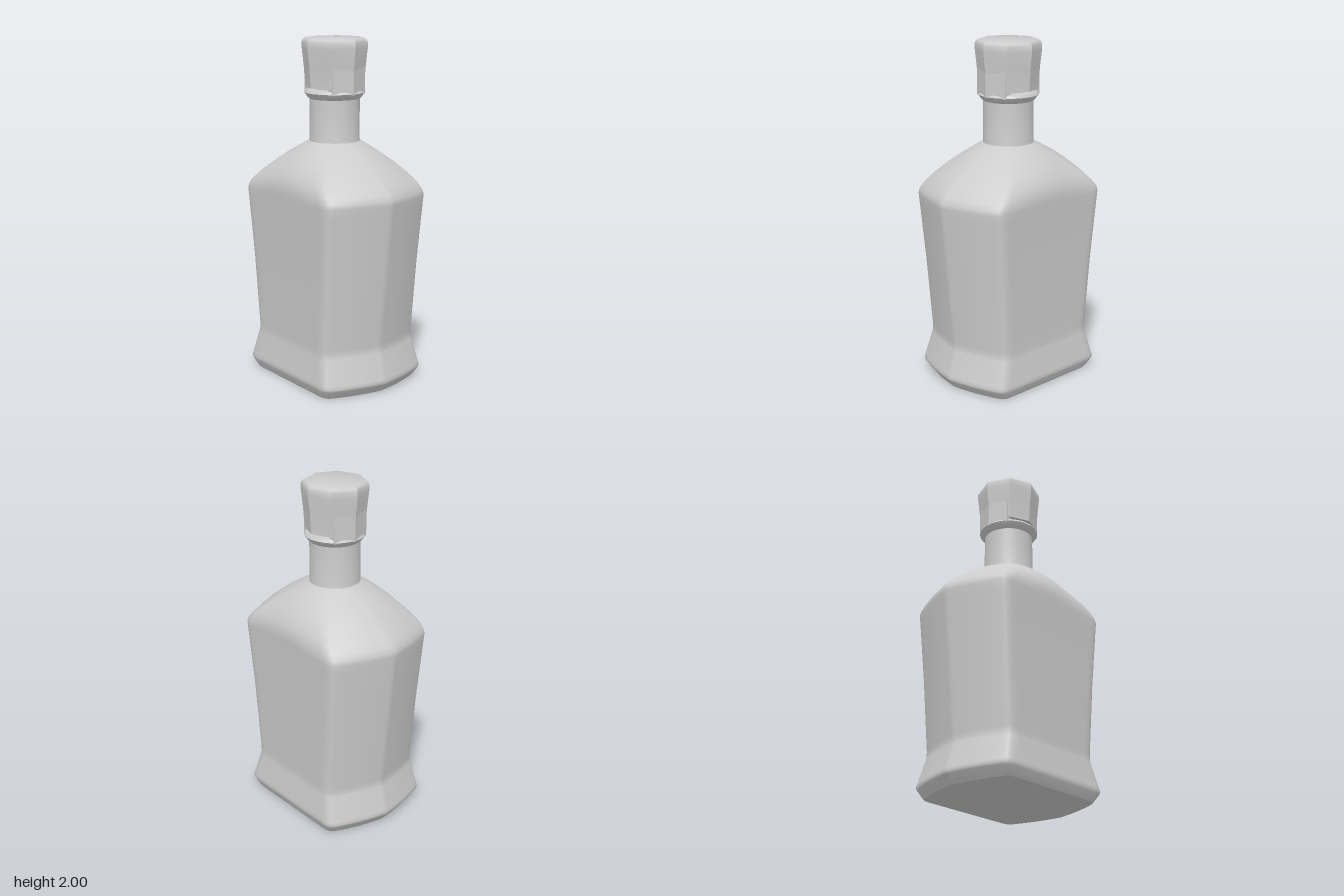
import * as THREE from 'three';
import { toCreasedNormals } from 'three/addons/utils/BufferGeometryUtils.js';

const material = new THREE.MeshStandardMaterial({ color: 0xcccccc });
const mix = THREE.MathUtils.lerp;

// One quarter of the soft-cornered hexagon, from the side edge (+x) to the front (+z)
function quarterHexagon(X, Z, C) {
  const pts = [];
  const side = (t) => {
    const bulge = 0.05 * t * (1 - t);
    return [mix(X, C, t) + bulge, Z * t + bulge * 0.4];
  };
  for (const t of [0, 0.05, 0.25, 0.45, 0.65, 0.82, 0.91]) pts.push(side(t));
  const a = pts[pts.length - 1], b = [C - 0.05, Z];
  for (const t of [0.25, 0.5, 0.75, 1]) {
    const u = 1 - t;
    pts.push([
      u * u * a[0] + 2 * u * t * C + t * t * b[0],
      u * u * a[1] + 2 * u * t * Z + t * t * b[1],
    ]);
  }
  for (const f of [0.93, 0.75, 0.5, 0.25, 0]) pts.push([b[0] * f, Z]);
  return pts;
}

// Full ring; round = 0 gives the hexagon, 1 gives the ellipse of the same size
function ring([y, X, Z, C, round]) {
  const quarter = quarterHexagon(X, Z, C).map(([x, z]) => {
    const angle = Math.atan2(z / Z, x / X);
    return [mix(x, X * Math.cos(angle), round), mix(z, Z * Math.sin(angle), round)];
  });
  const half = [...quarter, ...quarter.slice(0, -1).reverse().map(([x, z]) => [-x, z])];
  const full = [...half, ...half.slice(1, -1).reverse().map(([x, z]) => [x, -z])];
  return full.map(([x, z]) => [x, y, z]);
}

function loft(rings) {
  const n = rings[0].length, index = [];
  for (let r = 0; r < rings.length - 1; r++) {
    for (let i = 0; i < n; i++) {
      const a = r * n + i, b = r * n + (i + 1) % n;
      index.push(a, a + n, b, b, a + n, b + n);
    }
  }
  const geo = new THREE.BufferGeometry();
  geo.setAttribute('position', new THREE.Float32BufferAttribute(rings.flat(2), 3));
  geo.setIndex(index);
  geo.computeVertexNormals();
  return geo;
}

function add(group, name, geometry) {
  const mesh = new THREE.Mesh(geometry, material);
  mesh.name = name;
  group.add(mesh);
  return mesh;
}

function lathe(points, segments) {
  const profile = points.map(([r, y]) => new THREE.Vector2(r, y));
  return toCreasedNormals(new THREE.LatheGeometry(profile, segments), 0.6);
}

export function createModel() {
  const model = new THREE.Group();
  model.name = 'bottle';

  // Body rows: height, half width, half depth, corner x, roundness
  const rows = [
    [0, 0.435, 0.33, 0.34, 0],
    [0.01, 0.442, 0.337, 0.345, 0],
    [0.05, 0.474, 0.355, 0.37, 0],
    [0.065, 0.48, 0.36, 0.375, 0],
    [0.085, 0.476, 0.357, 0.37, 0],
    [0.23, 0.434, 0.334, 0.33, 0],
    [0.25, 0.43, 0.332, 0.326, 0],
    [0.28, 0.431, 0.332, 0.326, 0],
    [0.7, 0.475, 0.341, 0.358, 0],
    [1.06, 0.513, 0.356, 0.388, 0],
    [1.11, 0.519, 0.359, 0.392, 0],
    [1.135, 0.519, 0.36, 0.39, 0.06],
    [1.165, 0.502, 0.36, 0.375, 0.18],
    [1.2, 0.467, 0.354, 0.35, 0.33],
    [1.24, 0.42, 0.337, 0.32, 0.52],
    [1.29, 0.355, 0.303, 0.27, 0.72],
    [1.34, 0.28, 0.25, 0.21, 0.88],
    [1.38, 0.208, 0.196, 0.15, 0.97],
    [1.415, 0.14, 0.14, 0.1, 1],
  ];
  add(model, 'body', loft(rows.map(ring)));

  // Flat underside
  const outline = ring(rows[0]).map(([x, , z]) => new THREE.Vector2(x, z));
  const base = add(model, 'base', new THREE.ShapeGeometry(new THREE.Shape(outline)));
  base.rotation.x = Math.PI / 2;

  // Round neck with its collar and the narrow stub under the stopper
  add(model, 'neck', lathe([
    [0.15, 1.395], [0.145, 1.42], [0.145, 1.655], [0.155, 1.662],
    [0.175, 1.69], [0.165, 1.705], [0.12, 1.71], [0.12, 1.74],
  ], 48));

  // Octagonal stopper
  add(model, 'stopper', lathe([
    [0, 1.72], [0.172, 1.72], [0.173, 1.76], [0.18, 1.85],
    [0.19, 1.94], [0.19, 1.975], [0.183, 1.99], [0.167, 2], [0, 2],
  ], 8));

  // Side tabs joining the stopper to the collar
  for (const s of [1, -1]) {
    const shape = new THREE.Shape([
      [0.09, -0.115], [0.135, -0.115], [0.177, 0], [0.135, 0.115], [0.09, 0.115],
    ].map(([x, z]) => new THREE.Vector2(x * s, z * s)));
    const geo = new THREE.ExtrudeGeometry(shape, { depth: 0.145, bevelEnabled: false });
    geo.rotateX(Math.PI / 2);
    const tab = add(model, s > 0 ? 'leftTab' : 'rightTab', geo);
    tab.position.y = 1.83;
  }
  return model;
}
